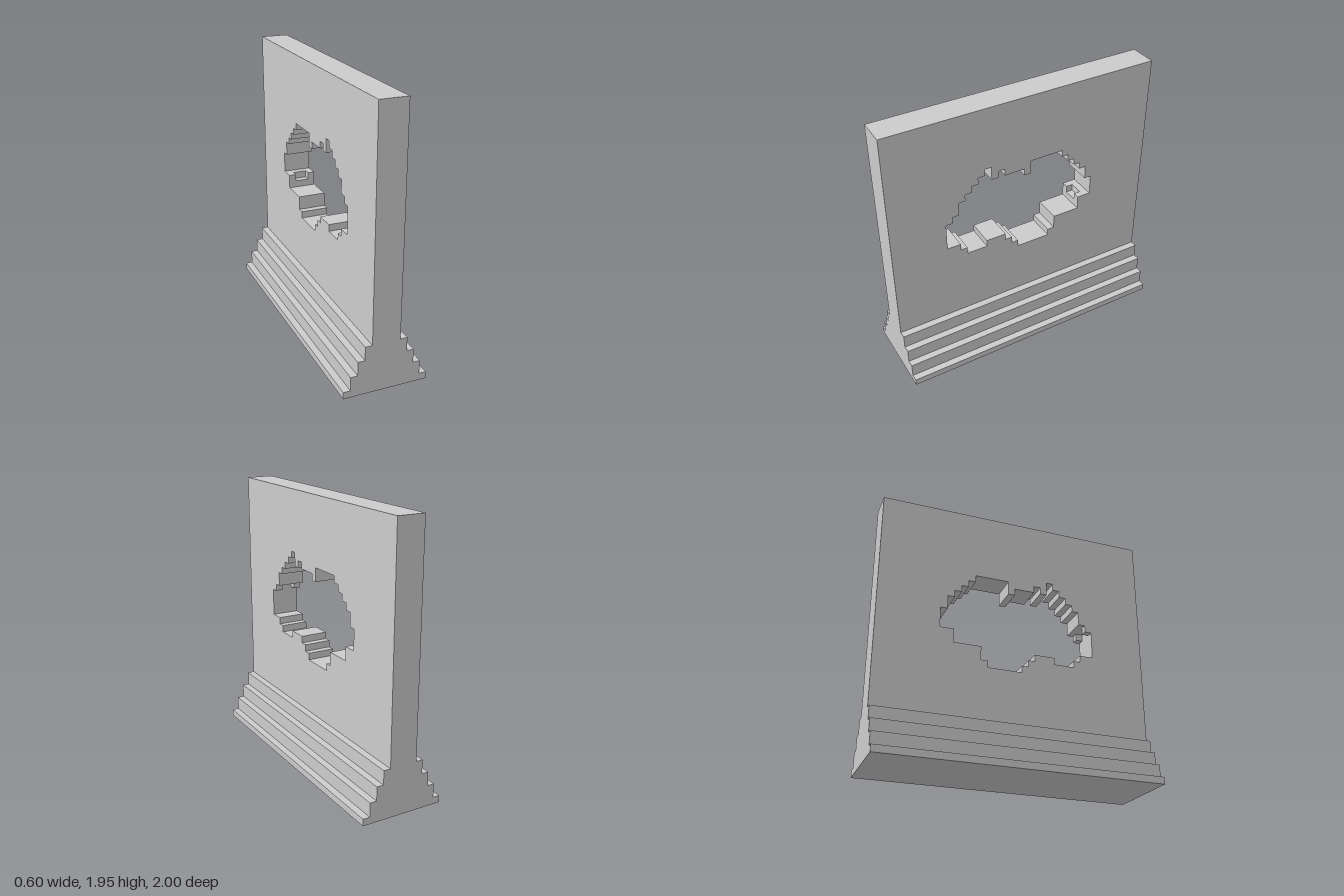
import * as THREE from 'three';

const material = new THREE.MeshStandardMaterial({ color: 0xcccccc, flatShading: true });

// Staircase outline: each entry moves across to z, then up or down to y
function stairPoints(steps) {
  const points = [];
  let y = steps[steps.length - 1][1];
  for (const [z, nextY] of steps) {
    points.push(new THREE.Vector2(-z, y), new THREE.Vector2(-z, nextY));
    y = nextY;
  }
  return points;
}

// Shared stretch of the opening, along the top from front to back
const topSteps = [
  [0.5, 1.3], [0.45, 1.35], [0.4, 1.4], [0.35, 1.45], [0.3, 1.5], [0.25, 1.4],
  [0.2, 1.45], [0.15, 1.4], [0, 1.35], [-0.05, 1.45], [-0.3, 1.4], [-0.35, 1.35],
  [-0.4, 1.3], [-0.45, 1.25], [-0.5, 1.15], [-0.55, 1],
];
// Along the bottom from back to front
const bottomSteps = [
  [-0.45, 0.9], [-0.25, 0.8], [-0.2, 0.75], [0.05, 0.8], [0.1, 0.85],
  [0.15, 0.9], [0.3, 0.85], [0.45, 0.9], [0.5, 0.95],
];
const faceHole = [[0.6, 1.15], [0.55, 1.2], ...topSteps, ...bottomSteps];
// The core of the wall has small extra pockets at both ends of the opening
const coreHole = [[0.6, 1.2], ...topSteps, [-0.5, 0.95], ...bottomSteps];

function wallLayer(name, x0, x1, hole) {
  const shape = new THREE.Shape([
    new THREE.Vector2(-1, 0.35), new THREE.Vector2(1, 0.35),
    new THREE.Vector2(1, 1.95), new THREE.Vector2(-1, 1.95),
  ]);
  shape.holes.push(new THREE.Path(stairPoints(hole)));
  const geometry = new THREE.ExtrudeGeometry(shape, { depth: x1 - x0, bevelEnabled: false });
  geometry.rotateY(Math.PI / 2).translate(x0, 0, 0);
  const mesh = new THREE.Mesh(geometry, material);
  mesh.name = name;
  return mesh;
}

// Stepped plinth, one profile run along the full length
function steppedBase() {
  const tiers = [[0.3, 0, 0.05], [0.25, 0.05, 0.15], [0.2, 0.15, 0.25], [0.15, 0.25, 0.35]];
  const right = tiers.flatMap(([w, y0, y1]) => [new THREE.Vector2(w, y0), new THREE.Vector2(w, y1)]);
  const left = right.map((p) => new THREE.Vector2(-p.x, p.y)).reverse();
  const geometry = new THREE.ExtrudeGeometry(new THREE.Shape([...right, ...left]), {
    depth: 2, bevelEnabled: false,
  });
  geometry.translate(0, 0, -1);
  const mesh = new THREE.Mesh(geometry, material);
  mesh.name = 'steppedBase';
  return mesh;
}

export function createModel() {
  const model = new THREE.Group();
  model.name = 'breachedWall';
  const wall = new THREE.Group();
  wall.name = 'wall';
  wall.add(
    wallLayer('wallRightFace', -0.1, -0.05, faceHole),
    wallLayer('wallCore', -0.05, 0.05, coreHole),
    wallLayer('wallLeftFace', 0.05, 0.1, faceHole),
  );
  model.add(steppedBase(), wall);
  return model;
}
